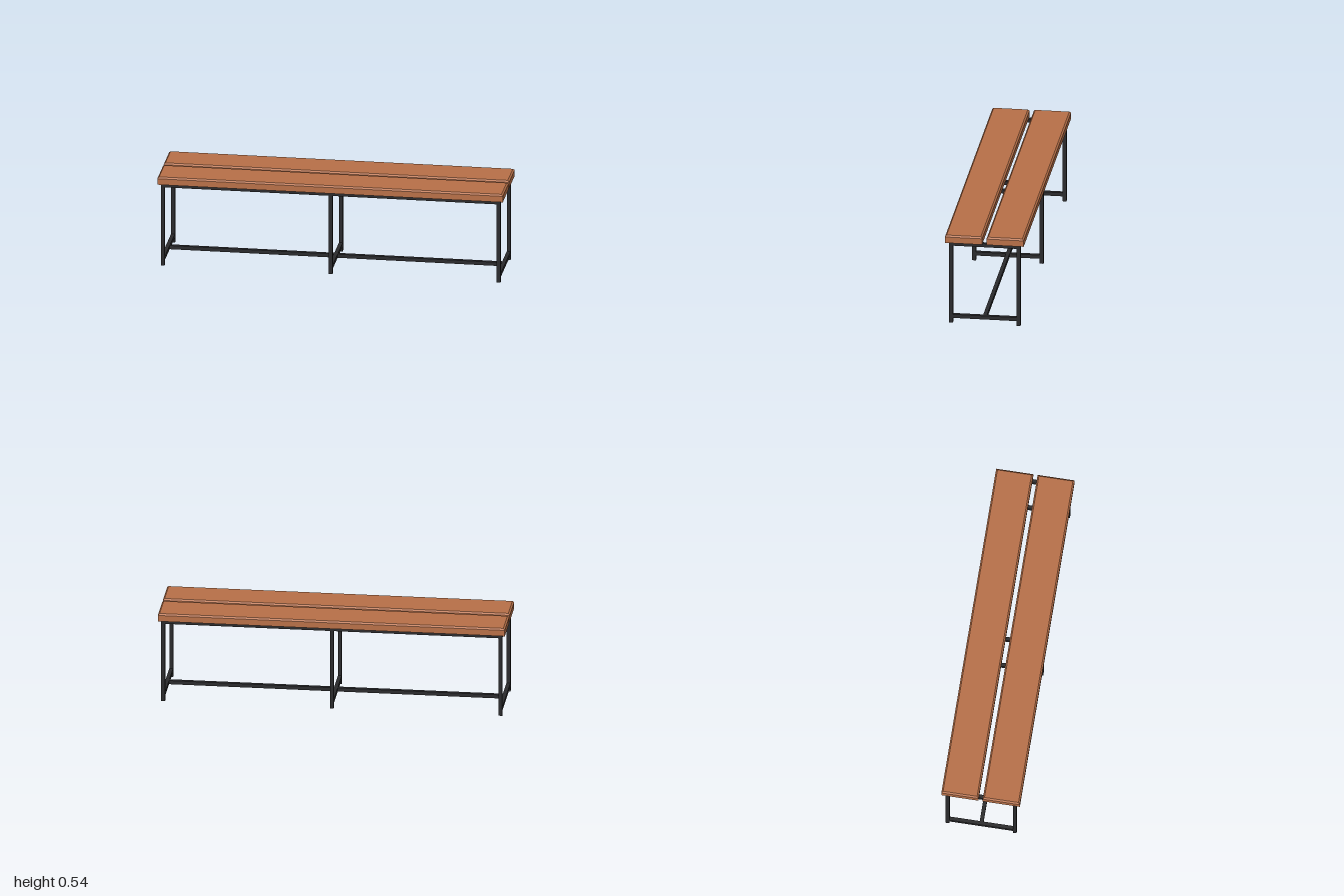
import * as THREE from 'three';

const TUBE = 0.022; // square steel section
const steel = new THREE.MeshStandardMaterial({ color: 0x2a2a2c });
const wood = new THREE.MeshStandardMaterial({ color: 0xb87048, flatShading: true });

function bar(name, size, position) {
  const mesh = new THREE.Mesh(new THREE.BoxGeometry(...size), steel);
  mesh.name = name;
  mesh.position.set(...position);
  return mesh;
}

// Plank with a chamfer around its top edge
function plankGeometry(length, height, width, chamfer) {
  const geometry = new THREE.BoxGeometry(length, height, width, 1, 2, 1);
  const p = geometry.attributes.position;
  for (let i = 0; i < p.count; i++) {
    const y = p.getY(i);
    if (Math.abs(y) < 1e-6) {
      p.setY(i, height / 2 - chamfer);
    } else if (y > 0) {
      p.setX(i, p.getX(i) - Math.sign(p.getX(i)) * chamfer);
      p.setZ(i, p.getZ(i) - Math.sign(p.getZ(i)) * chamfer);
    }
  }
  const flat = geometry.toNonIndexed();
  flat.computeVertexNormals();
  return flat;
}

export function createModel() {
  const bench = new THREE.Group();
  bench.name = 'bench';
  const legX = 0.972, legZ = 0.195, frameTop = 0.497;
  const railY = frameTop - TUBE / 2, lowY = 0.041;
  const crossLength = 2 * legZ - TUBE;

  // Three leg frames: two legs, a top crossbar and a low crossbar each
  for (const [name, x] of [['right', -legX], ['middle', 0], ['left', legX]]) {
    const frame = new THREE.Group();
    frame.name = name + 'LegFrame';
    frame.position.x = x;
    frame.add(
      bar('frontLeg', [TUBE, frameTop, TUBE], [0, frameTop / 2, legZ]),
      bar('backLeg', [TUBE, frameTop, TUBE], [0, frameTop / 2, -legZ]),
      bar('topCrossbar', [TUBE, TUBE, crossLength], [0, railY, 0]),
      bar('lowCrossbar', [TUBE, TUBE, crossLength], [0, lowY, 0])
    );
    bench.add(frame);
  }

  // Long rails under the seat and the low stretcher, between the frames
  const span = legX - TUBE;
  for (const side of [-1, 1]) {
    const x = side * legX / 2;
    bench.add(
      bar('frontRail', [span, TUBE, TUBE], [x, railY, legZ]),
      bar('backRail', [span, TUBE, TUBE], [x, railY, -legZ]),
      bar('stretcher', [span, TUBE, TUBE], [x, lowY, 0])
    );
  }

  // Two seat planks with a gap between them
  const plank = plankGeometry(2, 0.045, 0.215, 0.009);
  for (const side of [-1, 1]) {
    const mesh = new THREE.Mesh(plank, wood);
    mesh.name = side > 0 ? 'frontPlank' : 'backPlank';
    mesh.position.set(0, frameTop + 0.0225, side * 0.12);
    bench.add(mesh);
  }
  return bench;
}
